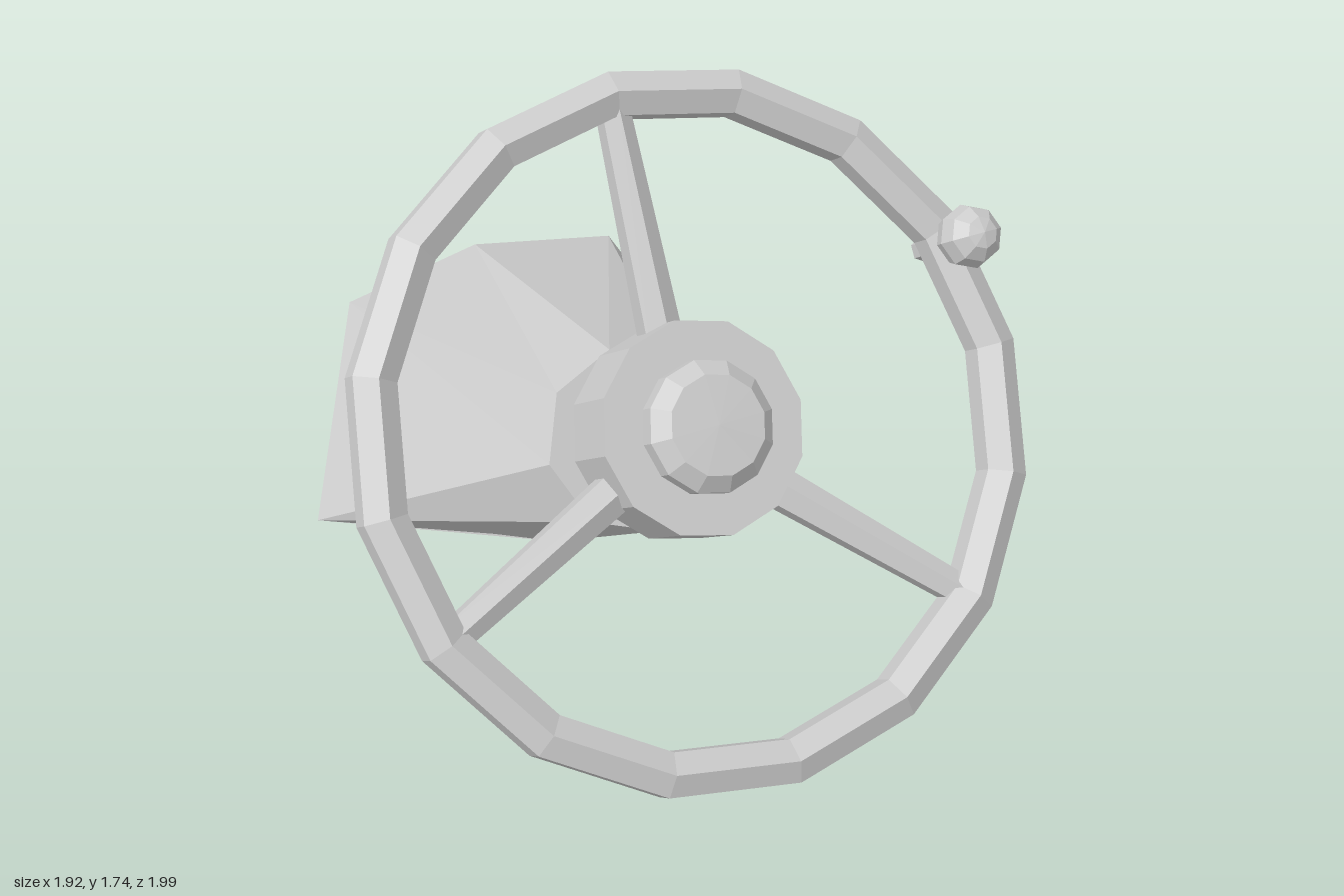
import * as THREE from 'three';

const material = new THREE.MeshStandardMaterial({ color: 0xcccccc, flatShading: true, side: THREE.DoubleSide });

function add(parent, name, geometry) {
  const mesh = new THREE.Mesh(geometry, material);
  mesh.name = name;
  parent.add(mesh);
  return mesh;
}

// Revolve [radius, depth] points about the steering axis (local z)
function turned(points, sides) {
  return new THREE.LatheGeometry(points.map(p => new THREE.Vector2(p[0], p[1])), sides).rotateX(Math.PI / 2);
}

// Solid between two matching counter-clockwise loops: front at z0, back at z1
function loft(front, back, z0, z1) {
  const n = front.length, pos = [], index = [];
  front.forEach(p => pos.push(p[0], p[1], z0));
  back.forEach(p => pos.push(p[0], p[1], z1));
  for (let i = 0; i < n; i++) {
    const j = (i + 1) % n;
    index.push(i, n + i, j, j, n + i, n + j);
    if (i > 0 && i < n - 1) index.push(0, i, i + 1, n, n + i + 1, n + i);
  }
  const g = new THREE.BufferGeometry();
  g.setAttribute('position', new THREE.Float32BufferAttribute(pos, 3));
  g.setIndex(index);
  g.computeVertexNormals();
  return g;
}

export function createModel() {
  const model = new THREE.Group();
  model.name = 'steeringWheel';

  // Everything is built upright around z, then leaned back
  const tilt = new THREE.Group();
  tilt.name = 'tiltedAssembly';
  tilt.position.set(0, 0.944, 0.418);
  tilt.rotation.x = THREE.MathUtils.degToRad(-35);
  model.add(tilt);

  // Rim: six-sided section with a flat outer face
  const rim = [];
  for (let i = 0; i <= 6; i++) {
    const a = (i + 0.5) * Math.PI / 3;
    rim.push([0.901 + 0.068 * Math.cos(a), 0.068 * Math.sin(a)]);
  }
  add(tilt, 'rim', turned(rim, 16));

  // Hub, centre cap and column
  add(tilt, 'hub', turned([[0, -0.185], [0.29, -0.185], [0.29, 0.03], [0, 0.03]], 12));
  add(tilt, 'centreCap', turned([[0.178, 0.02], [0.178, 0.08], [0.135, 0.122], [0, 0.128]], 12));
  add(tilt, 'column', turned([[0.13, -0.5], [0.13, -0.15]], 12));

  // Spokes run from the back of the hub forward to the rim
  for (const degrees of [0, 112.5, 225]) {
    const pivot = new THREE.Group();
    pivot.name = 'spoke';
    pivot.rotation.z = THREE.MathUtils.degToRad(degrees);
    tilt.add(pivot);
    const start = new THREE.Vector3(0, 0.2, -0.1), end = new THREE.Vector3(0, 0.89, 0);
    const dir = end.clone().sub(start);
    const bar = add(pivot, 'spokeBar', new THREE.CylinderGeometry(0.046, 0.062, dir.length(), 6));
    bar.position.copy(start).add(end).multiplyScalar(0.5);
    bar.quaternion.setFromUnitVectors(new THREE.Vector3(0, 1, 0), dir.normalize());
  }

  // Spinner knob with a pin through the rim
  const knob = new THREE.Group();
  knob.name = 'spinnerKnob';
  knob.position.set(0.84, 0.3, 0);
  tilt.add(knob);
  add(knob, 'knobBall', new THREE.SphereGeometry(0.088, 8, 6).rotateX(Math.PI / 2)).position.z = 0.153;
  add(knob, 'knobPin', new THREE.CylinderGeometry(0.037, 0.037, 0.22, 6).rotateX(Math.PI / 2)).position.z = 0;

  // Base: an octagon flaring upward and outward toward the back
  const octagon = [], flare = [];
  const half = [[0, -0.26], [0.185, -0.185], [0.7, 0], [0.43, 0.595], [0, 0.67]];
  for (let i = 0; i < 8; i++) {
    const a = (i - 2) * Math.PI / 4;
    octagon.push([0.26 * Math.cos(a), 0.26 * Math.sin(a)]);
    flare.push(i < 5 ? half[i] : [-half[8 - i][0], half[8 - i][1]]);
  }
  add(tilt, 'base', loft(octagon, flare, -0.455, -1.26));

  return model;
}
